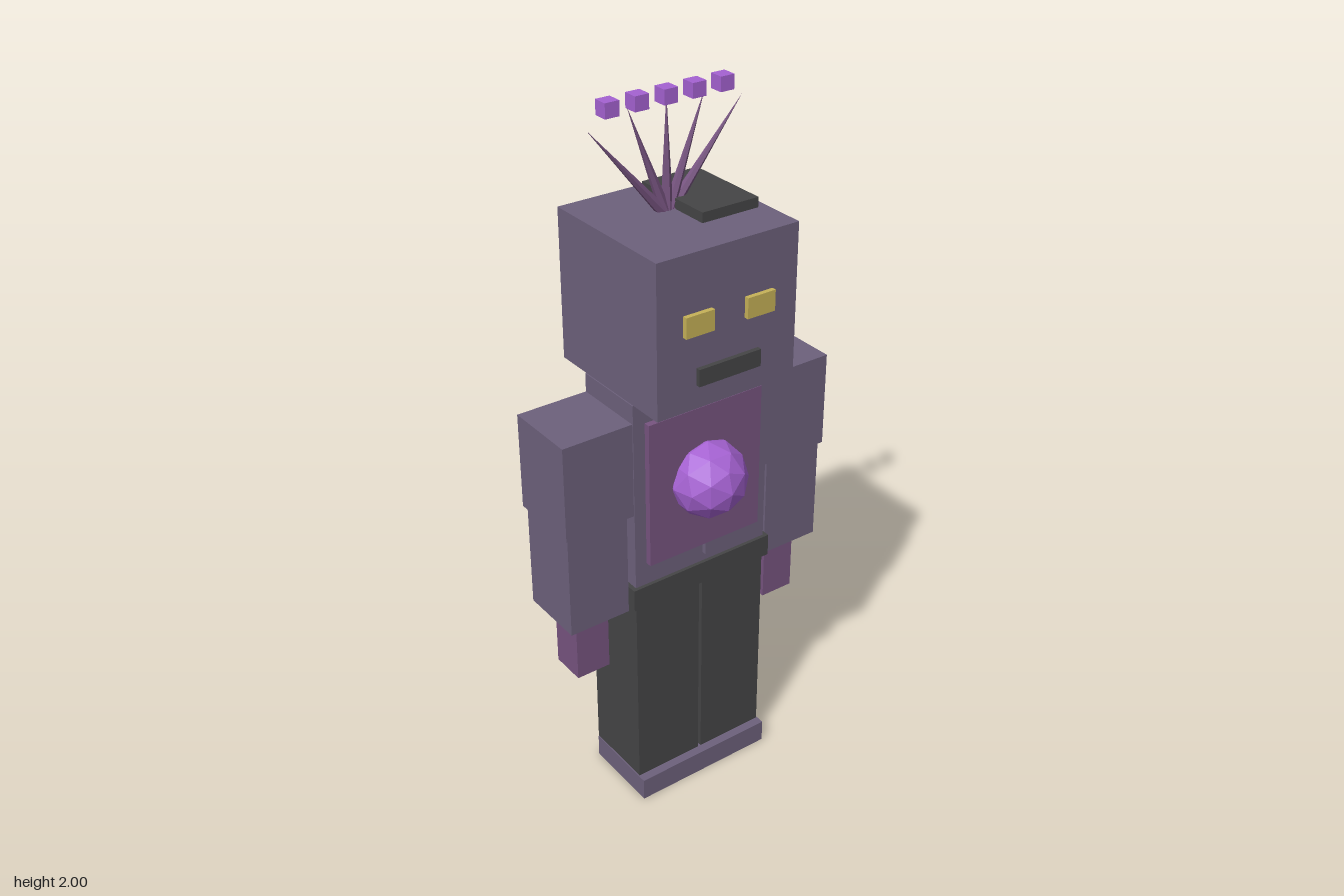
import * as THREE from 'three';

const mat = (name, color) => {
  const m = new THREE.MeshStandardMaterial({ color });
  m.name = name;
  m.flatShading = true;
  return m;
};

export function createModel() {
  const body = mat('dusky purple', 0x6d617c);
  const plate = mat('plum', 0x775480);
  const dark = mat('charcoal', 0x454546);
  const gold = mat('dull gold', 0xc6b258);
  const glow = mat('bright violet', 0xa562d2);

  const model = new THREE.Group();
  model.name = 'robot';

  const add = (parent, name, geometry, material) => {
    const mesh = new THREE.Mesh(geometry, material);
    mesh.name = name;
    parent.add(mesh);
    return mesh;
  };
  // Box given by its extents on each axis
  const box = (parent, name, material, [x0, x1], [y0, y1], [z0, z1]) => {
    const mesh = add(parent, name, new THREE.BoxGeometry(x1 - x0, y1 - y0, z1 - z0), material);
    mesh.position.set((x0 + x1) / 2, (y0 + y1) / 2, (z0 + z1) / 2);
    return mesh;
  };
  // Extents on x mirrored for the right side
  const side = (s, a, b) => (s > 0 ? [a, b] : [-b, -a]);

  // Torso with chest and back plates, pouch, belt and feet
  box(model, 'torso', body, [-0.213, 0.213], [0.662, 1.28], [-0.122, 0.09]);
  box(model, 'chestPlate', plate, [-0.178, 0.178], [0.797, 1.22], [0.08, 0.108]);
  box(model, 'backPlate', plate, [-0.178, 0.178], [0.797, 1.22], [-0.142, -0.115]);
  box(model, 'pouch', body, [0.005, 0.155], [0.757, 0.83], [0.08, 0.103]);
  box(model, 'belt', dark, [-0.225, 0.225], [0.665, 0.73], [-0.134, 0.1]);
  box(model, 'feet', body, [-0.215, 0.215], [0, 0.068], [-0.119, 0.115]);

  // Faceted chest orb
  add(model, 'chestOrb', new THREE.IcosahedronGeometry(0.108, 1), glow).position.set(0, 1.01, 0.115);

  // Head with face and top hatch
  const head = new THREE.Group();
  head.name = 'headGroup';
  model.add(head);
  box(head, 'head', body, [-0.21, 0.21], [1.28, 1.695], [-0.227, 0.191]);
  box(head, 'mouth', dark, [-0.094, 0.094], [1.345, 1.392], [0.185, 0.204]);
  box(head, 'hatch', dark, [0.015, 0.185], [1.69, 1.722], [-0.187, 0.065]);

  for (const s of [1, -1]) {
    const label = s > 0 ? 'left' : 'right';
    box(head, label + 'Eye', gold, side(s, 0.05, 0.134), [1.485, 1.541], [0.185, 0.204]);

    // Arm
    const arm = new THREE.Group();
    arm.name = label + 'Arm';
    model.add(arm);
    box(arm, 'upperArm', body, side(s, 0.21, 0.417), [0.956, 1.227], [-0.122, 0.087]);
    box(arm, 'forearm', body, side(s, 0.229, 0.409), [0.655, 0.957], [-0.113, 0.078]);
    box(arm, 'hand', plate, side(s, 0.267, 0.368), [0.464, 0.66], [-0.067, 0.034]);

    // Leg
    box(model, label + 'Leg', dark, side(s, 0.005, 0.212), [0.002, 0.665], [-0.122, 0.089]);
  }

  // Fan of spikes with floating cubes
  const fan = new THREE.Group();
  fan.name = 'antennaFan';
  fan.position.z = -0.06;
  head.add(fan);
  const up = new THREE.Vector3(0, 1, 0);
  for (let i = -2; i <= 2; i++) {
    const base = new THREE.Vector3(i * 0.004, 1.685, 0);
    const tip = new THREE.Vector3(i * 0.113, 1.985 - 0.0115 * i * i, 0);
    const axis = tip.clone().sub(base);
    const spike = add(fan, 'spike', new THREE.ConeGeometry(0.016, axis.length(), 6), plate);
    spike.position.copy(base).add(tip).multiplyScalar(0.5);
    spike.quaternion.setFromUnitVectors(up, axis.normalize());
    const x = i * 0.083;
    box(fan, 'tipCube', glow, [x - 0.02, x + 0.02], [1.962, 2], [-0.02, 0.02]);
  }
  return model;
}
